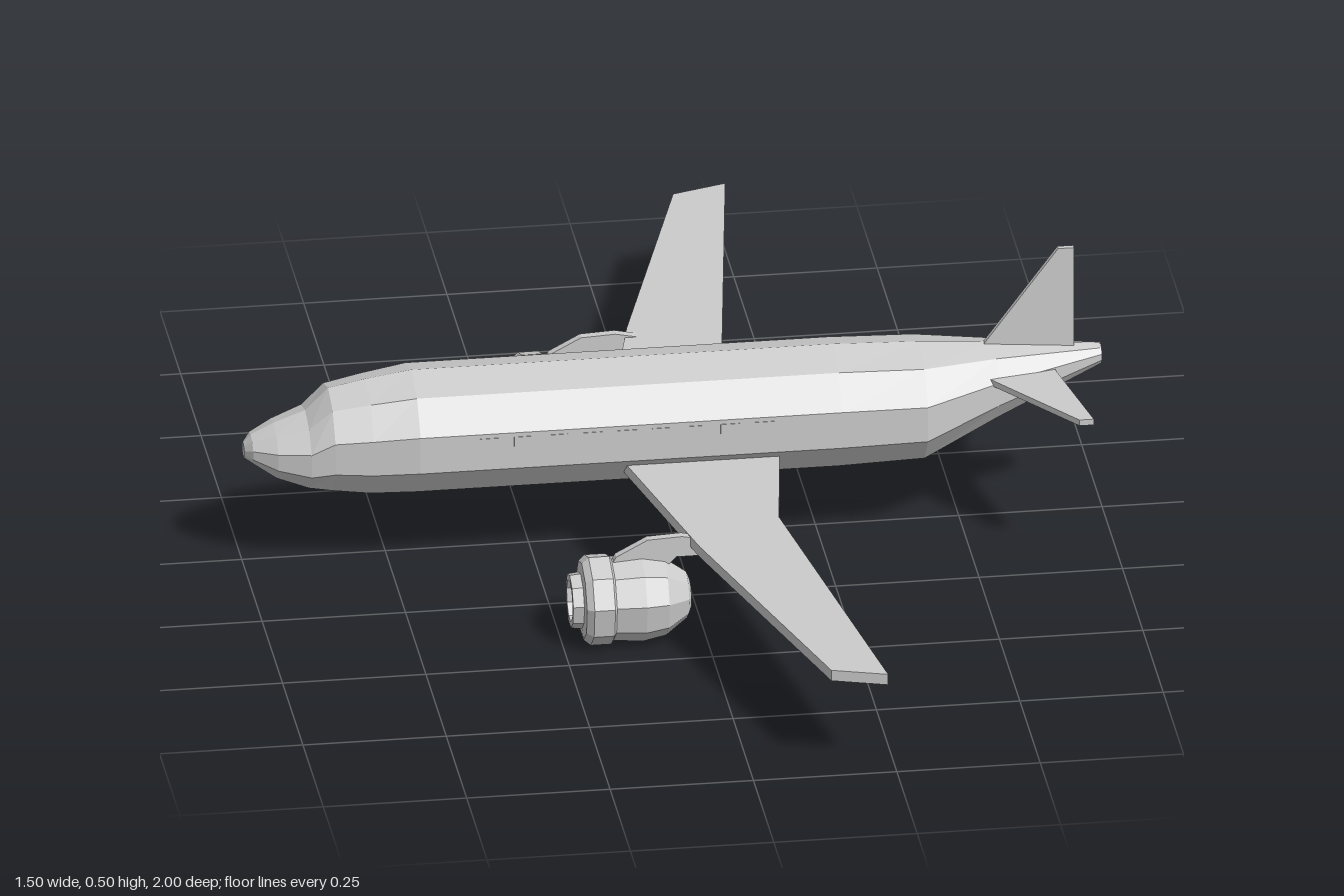
import * as THREE from 'three';

const material = new THREE.MeshStandardMaterial({ color: 0xcccccc, flatShading: true });

function addMesh(parent, name, geometry) {
  const mesh = new THREE.Mesh(geometry, material);
  mesh.name = name;
  parent.add(mesh);
  return mesh;
}

// Flat plate from an outline, with the thickness centred on zero
function plate(points, thickness) {
  const shape = new THREE.Shape(points.map(([a, b]) => new THREE.Vector2(a, b)));
  return new THREE.ExtrudeGeometry(shape, { depth: thickness, bevelEnabled: false })
    .translate(0, 0, -thickness / 2);
}

// Ten-sided hull lofted along x; each station is [x, top, bottom, halfWidth]
function loft(stations, sides) {
  const positions = [];
  const index = [];
  for (const [x, top, bottom, halfWidth] of stations) {
    for (let j = 0; j < sides; j++) {
      const a = (j / sides) * Math.PI * 2;
      positions.push(x, (top + bottom) / 2 + Math.cos(a) * (top - bottom) / 2, Math.sin(a) * halfWidth);
    }
  }
  const last = (stations.length - 1) * sides;
  for (let j = 0; j < sides; j++) {
    const k = (j + 1) % sides;
    for (let r = 0; r < last; r += sides) {
      index.push(r + j, r + k, r + sides + j, r + k, r + sides + k, r + sides + j);
    }
    // End caps
    if (j > 0 && k > 0) {
      index.push(0, k, j, last, last + j, last + k);
    }
  }
  const geometry = new THREE.BufferGeometry();
  geometry.setAttribute('position', new THREE.Float32BufferAttribute(positions, 3));
  geometry.setIndex(index);
  geometry.computeVertexNormals();
  return geometry;
}

export function createModel() {
  const plane = new THREE.Group();
  plane.name = 'airliner';

  // Fuselage, nose at -x
  const fuselage = loft([
    [-0.748, 0.235, 0.208, 0.015],
    [-0.735, 0.25, 0.2, 0.036],
    [-0.695, 0.27, 0.172, 0.064],
    [-0.64, 0.29, 0.152, 0.088],
    [-0.6, 0.33, 0.143, 0.099],
    [-0.535, 0.343, 0.135, 0.111],
    [-0.455, 0.355, 0.135, 0.124],
    [0.28, 0.355, 0.135, 0.124],
    [0.43, 0.35, 0.14, 0.122],
    [0.56, 0.341, 0.202, 0.073],
    [0.747, 0.325, 0.289, 0.02],
  ], 10);
  addMesh(plane, 'fuselage', fuselage).position.z = 0.002;

  // Engine profile as [radius, x], from the hub out over the lip to the rear
  const engineProfile = [
    [0, -0.222], [0.018, -0.212], [0.018, -0.195], [0.037, -0.195],
    [0.037, -0.235], [0.048, -0.235], [0.05, -0.216], [0.07, -0.214],
    [0.08, -0.202], [0.08, -0.166], [0.074, -0.162], [0.078, -0.11],
    [0.07, -0.07], [0.042, -0.032], [0.027, -0.026], [0, -0.026],
  ].map(([r, x]) => new THREE.Vector2(r, x));

  for (const side of [1, -1]) {
    const half = new THREE.Group();
    half.name = side > 0 ? 'frontHalf' : 'rearHalf';
    plane.add(half);

    // Swept wing with a kink in both edges
    const wing = plate([
      [-0.118, 0], [-0.09, 0.125], [-0.015, 0.45], [0.14, 0.97],
      [0.235, 1], [0.137, 0.35], [0.17, 0.125], [0.188, 0],
    ].map(([x, z]) => [x, z * side]), 0.02).rotateX(Math.PI / 2);
    addMesh(half, 'wing', wing).position.y = side > 0 ? 0.188 : 0.181;

    // Tailplane
    const tailplane = plate([
      [0.5, 0], [0.55, 0.067], [0.675, 0.243], [0.7, 0.243], [0.663, 0.045], [0.66, 0],
    ].map(([x, z]) => [x, z * side]), 0.011).rotateX(Math.PI / 2);
    addMesh(half, 'tailplane', tailplane).position.set(0, side > 0 ? 0.295 : 0.291, 0.008);

    // Engine with its pylon
    const engine = new THREE.Group();
    engine.name = 'engine';
    engine.position.z = side > 0 ? 0.398 : -0.42;
    half.add(engine);
    const nacelle = new THREE.LatheGeometry(engineProfile, 9)
      .rotateY(-Math.PI / 2).rotateZ(-Math.PI / 2);
    addMesh(engine, 'nacelle', nacelle).position.y = 0.086;
    addMesh(engine, 'pylon', plate([
      [-0.17, 0.14], [-0.155, 0.167], [-0.1, 0.196], [-0.04, 0.199],
      [0.062, 0.178], [0.062, 0.161], [-0.05, 0.161], [-0.07, 0.14],
    ], 0.016));

    // Cabin windows
    for (let i = 0; i < 9; i++) {
      const pane = addMesh(half, 'cabinWindow', new THREE.BoxGeometry(0.034, 0.018, 0.012));
      pane.position.set(-0.335 + i * 0.06, 0.262, side > 0 ? 0.115 : -0.118);
    }
  }

  // Tail fin
  addMesh(plane, 'tailFin', plate([
    [0.54, 0.325], [0.54, 0.337], [0.672, 0.514], [0.7, 0.514], [0.7, 0.31],
  ], 0.01)).position.z = 0.004;

  return plane;
}
